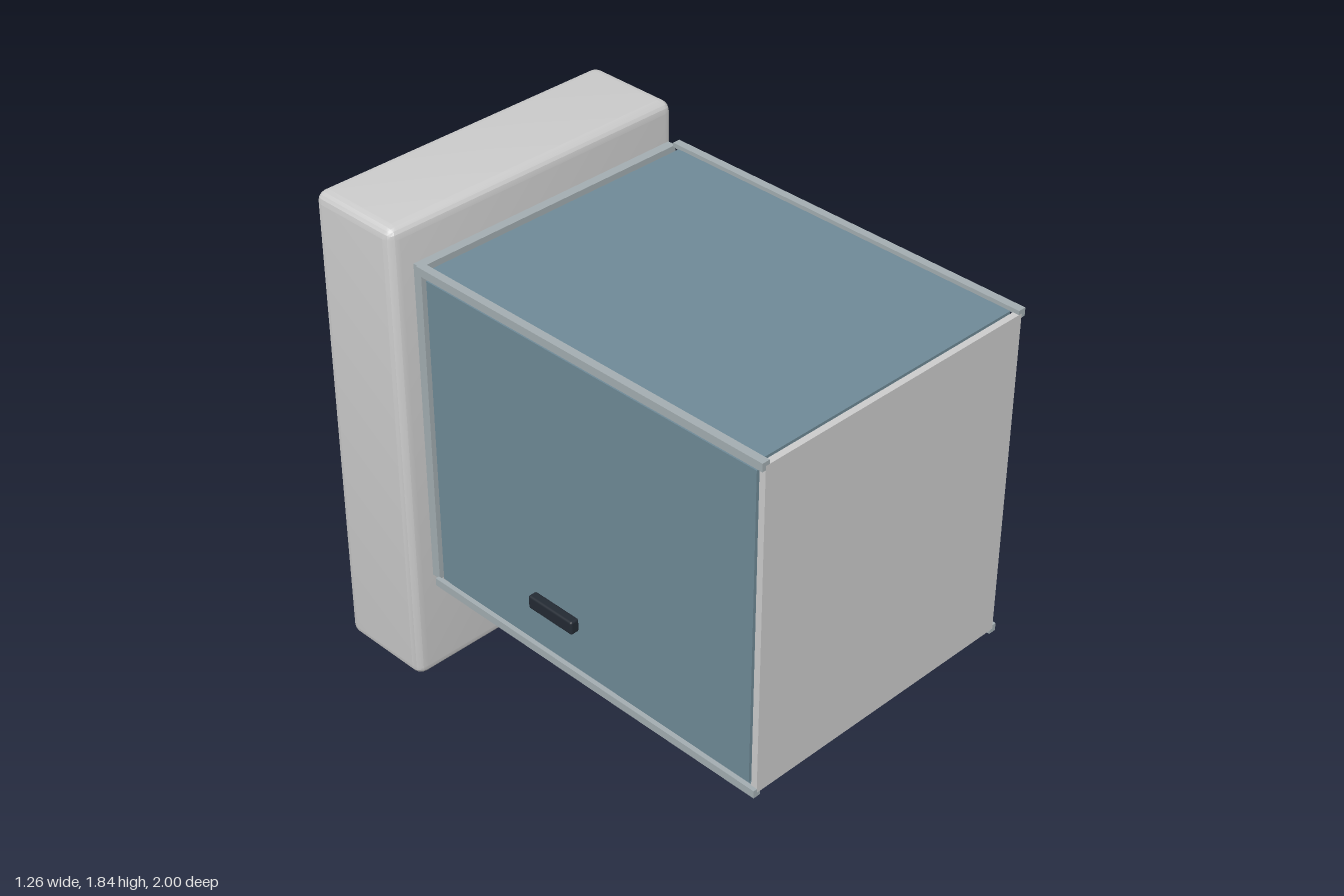
import * as THREE from 'three';
import { RoundedBoxGeometry } from 'three/addons/geometries/RoundedBoxGeometry.js';
import { toCreasedNormals } from 'three/addons/utils/BufferGeometryUtils.js';

const paint = (color) => new THREE.MeshStandardMaterial({ color });

export function createModel() {
  const model = new THREE.Group();
  const grey = paint(0xcccccc);
  const metal = paint(0xa3adb1);
  const blue = paint(0x6f8a97);
  const black = paint(0x232a33);
  const glass = paint(0x10242d);

  const add = (name, geometry, material, x = 0, y = 0, z = 0) => {
    const mesh = new THREE.Mesh(geometry, material);
    mesh.name = name;
    mesh.position.set(x, y, z);
    model.add(mesh);
    return mesh;
  };
  // box given by its minimum and maximum corners
  const block = (name, material, [x0, y0, z0], [x1, y1, z1]) =>
    add(name, new THREE.BoxGeometry(x1 - x0, y1 - y0, z1 - z0), material,
      (x0 + x1) / 2, (y0 + y1) / 2, (z0 + z1) / 2);

  // main housing with softened edges
  const housing = toCreasedNormals(new RoundedBoxGeometry(1.26, 1.83, 0.385, 2, 0.04), 0.3);
  add('housing', housing, grey, 0, 0.925, -0.769);

  // display set on the underside of the housing
  block('display', glass, [-0.36, 0, -0.79], [0.36, 0.02, -0.645]);

  // round feet on the back
  for (const x of [-0.46, 0.46]) {
    for (const y of [0.28, 1.57]) {
      const foot = add('foot', new THREE.CylinderGeometry(0.04, 0.04, 0.05, 24), black, x, y, -0.975);
      foot.rotation.x = Math.PI / 2;
    }
  }

  // chamber end plates
  block('frontPlate', grey, [-0.573, 0.463, 0.975], [0.573, 1.714, 0.999]);
  block('rearPlate', metal, [-0.57, 0.467, -0.542], [0.57, 1.717, -0.507]);

  // chamber panels
  block('topPanel', blue, [-0.553, 1.706, -0.475], [0.553, 1.719, 0.97]);
  block('bottomPanel', blue, [-0.553, 0.457, -0.475], [0.553, 0.47, 0.97]);
  for (const s of [-1, 1]) {
    const panel = block('sidePanel', blue, [0.566, 0.493, -0.472], [0.579, 1.686, 0.97]);
    panel.position.x *= s;

    // side handle
    add('handle', new RoundedBoxGeometry(0.036, 0.052, 0.206, 2, 0.008), black, s * 0.595, 0.679, 0.102);
  }

  // angle profiles along the four chamber corners
  const t = 0.015, w = 0.03;
  for (const sx of [-1, 1]) {
    for (const sy of [-1, 1]) {
      const corner = [[0, 0], [w, 0], [w, t], [t, t], [t, w], [0, w]]
        .map(([a, b]) => new THREE.Vector2(sx * (0.588 - a), sy * (0.64 - b)));
      const rail = new THREE.ExtrudeGeometry(new THREE.Shape(corner), { depth: 1.507, bevelEnabled: false });
      add('cornerRail', rail, metal, 0, 1.09, -0.507);
    }
  }

  // round hub in front of the rear plate
  const hub = add('hub', new THREE.CylinderGeometry(0.105, 0.105, 0.046, 48), grey, 0, 1.09, -0.473);
  hub.rotation.x = Math.PI / 2;

  return model;
}
